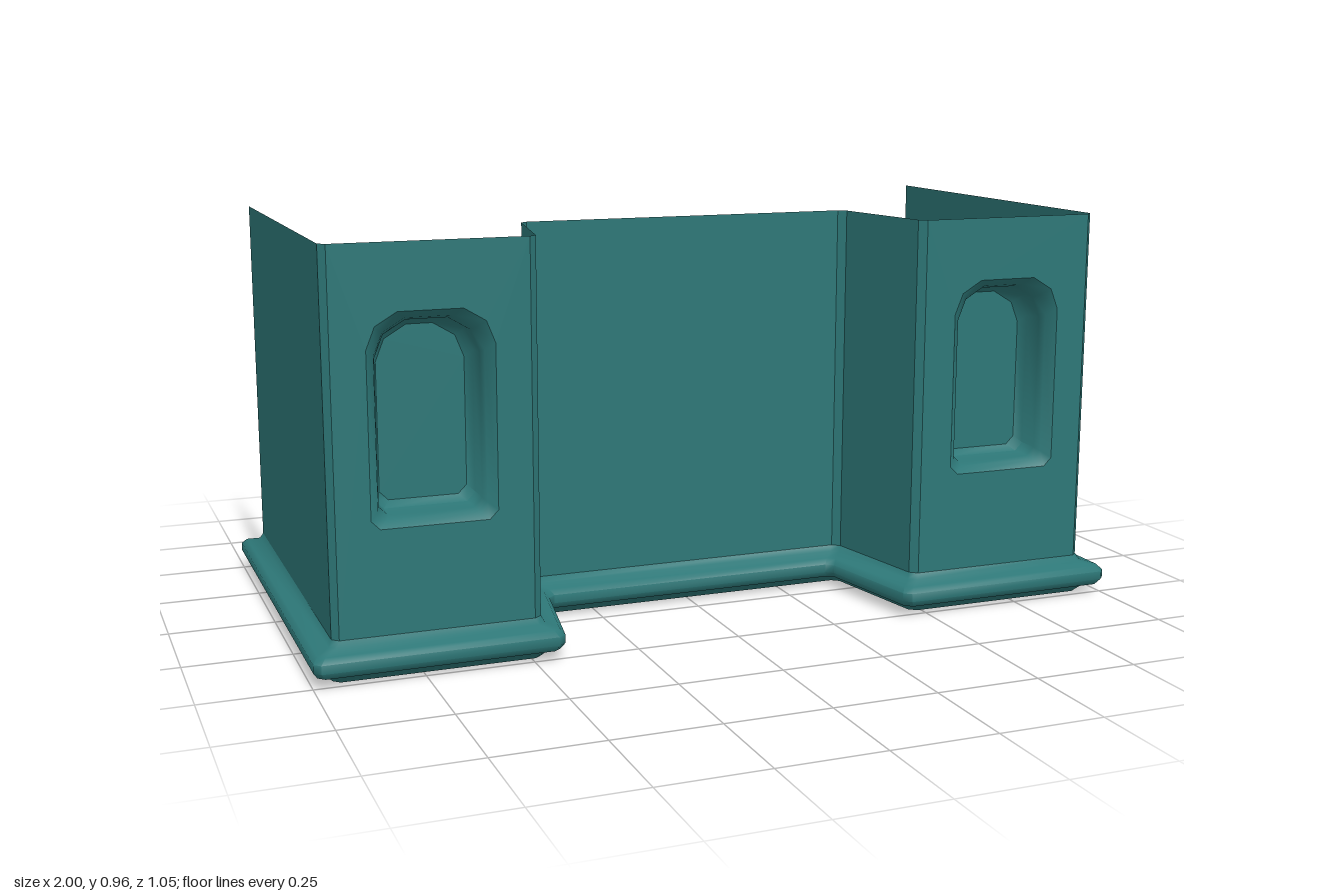
import * as THREE from 'three';
import { toCreasedNormals } from 'three/addons/utils/BufferGeometryUtils.js';

const material = new THREE.MeshStandardMaterial({ color: 0x2d7777, side: THREE.DoubleSide });

// Wall outline in plan [x, z], from the back left end round to the back right end
const half = [[-0.95, -0.475], [-0.95, 0.475], [-0.475, 0.475], [-0.42, 0.17]];
const plan = [...half, ...half.map(([x, z]) => [-x, z]).reverse()];
const BEVEL = 0.015;
const WALL_TOP = 0.96, WALL_BASE = 0.095;

const dir = (a, b) => {
  const l = Math.hypot(b[0] - a[0], b[1] - a[1]);
  return [(b[0] - a[0]) / l, (b[1] - a[1]) / l];
};

// Plan pushed outward by d with mitred, then bevelled corners
function outline(d) {
  const n = plan.length;
  const moved = plan.map((p, i) => {
    const u = dir(plan[(i + n - 1) % n], p), v = dir(p, plan[(i + 1) % n]);
    const k = d / (1 + u[0] * v[0] + u[1] * v[1]);
    return [p[0] - (u[1] + v[1]) * k, p[1] + (u[0] + v[0]) * k];
  });
  return moved.flatMap((p, i) => {
    if (i === 0 || i === n - 1) return [p];
    return [moved[i - 1], moved[i + 1]].map((q) => {
      const t = dir(p, q);
      return [p[0] + t[0] * BEVEL, p[1] + t[1] * BEVEL];
    });
  });
}

// Surface through rows of equal length; skipped columns are left open
function loft(rows, { closed = false, skip = [], crease = 0.5 } = {}) {
  const n = rows[0].length, index = [];
  for (let r = 0; r < rows.length - 1; r++) {
    for (let c = 0; c < (closed ? n : n - 1); c++) {
      if (skip.includes(c)) continue;
      const a = r * n + c, b = r * n + (c + 1) % n;
      index.push(a, b, b + n, a, b + n, a + n);
    }
  }
  const geo = new THREE.BufferGeometry();
  geo.setAttribute('position', new THREE.Float32BufferAttribute(rows.flat(2), 3));
  geo.setIndex(index);
  return toCreasedNormals(geo, crease);
}

// Niche outline with clipped, arched top corners
function nicheLoop(cx, w, y0, y1) {
  const right = [[w - 0.02, y0], [w, y0 + 0.02], [w, y1 - 0.08], [w - 0.02, y1 - 0.03], [w - 0.07, y1]];
  const left = right.map(([x, y]) => [-x, y]).reverse();
  return [...right, ...left].map(([x, y]) => [cx + x, y]);
}

const toShape = (pts) => new THREE.Shape(pts.map(([x, y]) => new THREE.Vector2(x, y)));

export function createModel() {
  const model = new THREE.Group();
  const add = (name, geo, parent = model) => {
    const mesh = new THREE.Mesh(geo, material);
    mesh.name = name;
    parent.add(mesh);
    return mesh;
  };

  // Side walls and recessed centre, leaving the two front bays open
  const wall = outline(0);
  const frontBays = [2, wall.length - 4];
  add('walls', loft([WALL_BASE, WALL_TOP].map((y) => wall.map(([x, z]) => [x, y, z])), { skip: frontBays }));

  // Moulded plinth: [outward offset, height]
  const profile = [[0, 0], [0.016, 0.018], [0.04, 0.025], [0.05, 0.04], [0.05, 0.06],
    [0.038, 0.073], [0.008, 0.081], [0, WALL_BASE]];
  add('plinth', loft(profile.map(([d, y]) => outline(d).map(([x, z]) => [x, y, z])), { crease: 0.95 }));

  // Front bays with niches
  frontBays.forEach((i, k) => {
    const bay = new THREE.Group();
    bay.name = k ? 'leftBay' : 'rightBay';
    model.add(bay);
    const cx = k ? 0.714 : -0.714;
    const [x0, z] = wall[i], x1 = wall[i + 1][0];

    // [half width, bottom, top, z] from mouth to back
    const steps = [[0.143, 0.335, 0.81, z], [0.123, 0.35, 0.793, 0.455],
      [0.117, 0.356, 0.786, 0.435], [0.115, 0.358, 0.782, 0.385], [0.1, 0.372, 0.765, 0.365]];
    const loops = steps.map(([w, y0, y1]) => nicheLoop(cx, w, y0, y1));

    const panel = toShape([[x0, WALL_BASE], [x1, WALL_BASE], [x1, WALL_TOP], [x0, WALL_TOP]]);
    panel.holes.push(toShape(loops[0]));
    add('frontPanel', new THREE.ShapeGeometry(panel).translate(0, 0, z), bay);

    add('nicheSides', loft(loops.map((l, s) => l.map(([x, y]) => [x, y, steps[s][3]])),
      { closed: true, crease: 0.9 }), bay);
    add('nicheBack', new THREE.ShapeGeometry(toShape(loops.at(-1))).translate(0, 0, steps.at(-1)[3]), bay);
  });

  return model;
}
